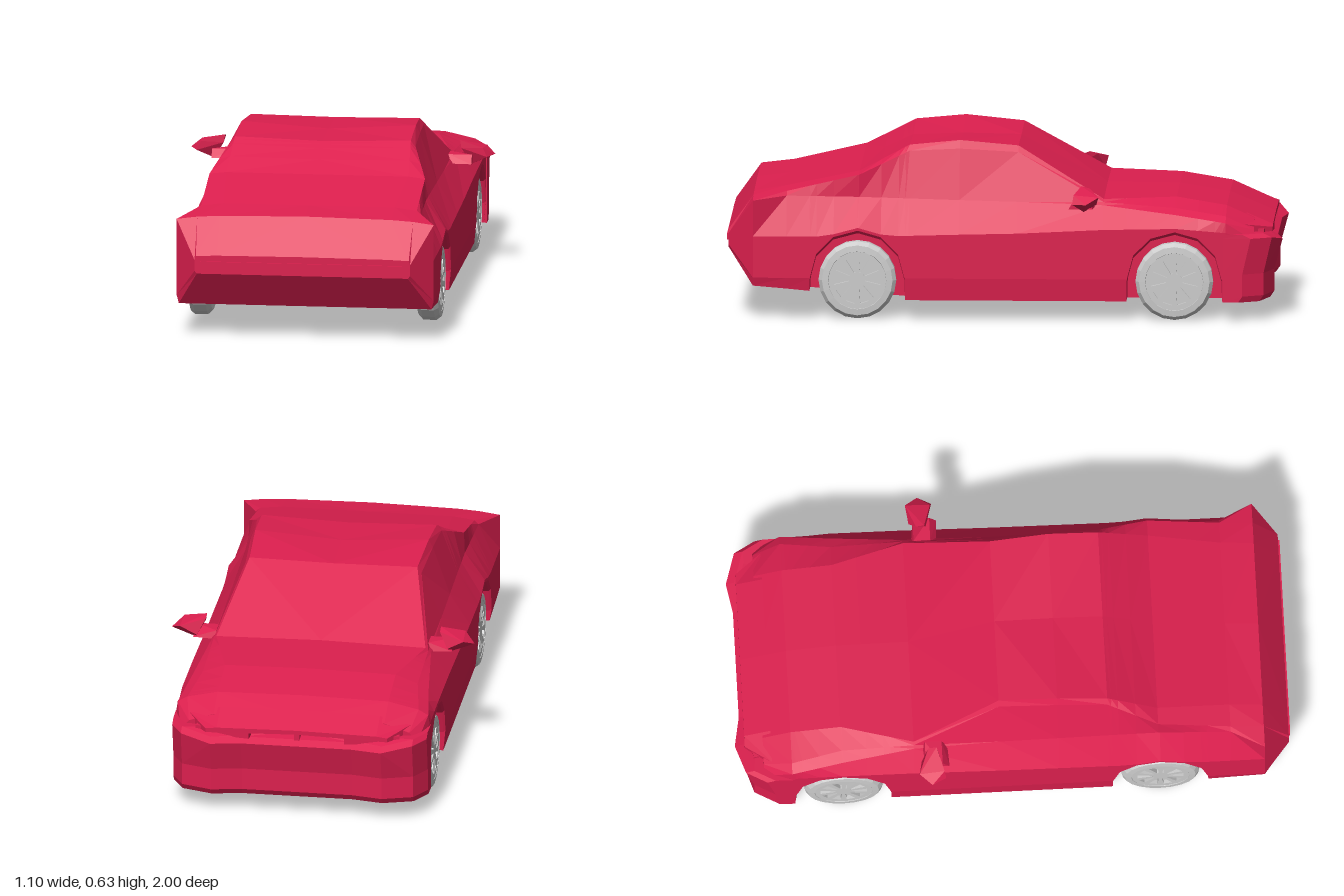
import * as THREE from 'three';
import { ConvexGeometry } from 'three/addons/geometries/ConvexGeometry.js';

const paint = new THREE.MeshStandardMaterial({ color: 0xdc1f4e, flatShading: true });
const grey = new THREE.MeshStandardMaterial({ color: 0xcccccc, flatShading: true });
const WHEEL_Z = [0.525, -0.615], WHEEL_Y = 0.142, ARCH_R = 0.17;

function addMesh(parent, name, geometry, material = paint) {
  const mesh = new THREE.Mesh(geometry, material);
  mesh.name = name;
  parent.add(mesh);
  return mesh;
}

// Skin closed rings of [x, y, z] points, cap both ends and turn the faces outwards
function loft(rings) {
  const n = rings[0].length, pts = rings.flat(), tris = [];
  for (let r = 0; r < rings.length - 1; r++) {
    for (let i = 0; i < n; i++) {
      const a = r * n + i, b = r * n + (i + 1) % n;
      // mirror the diagonal so that both halves match
      if (i < n / 2) tris.push([a, b, b + n], [a, b + n, a + n]);
      else tris.push([a, b, a + n], [b, b + n, a + n]);
    }
  }
  for (const [r, flip] of [[0, true], [rings.length - 1, false]]) {
    const c = pts.length;
    pts.push([0, 1, 2].map(k => rings[r].reduce((s, p) => s + p[k], 0) / n));
    for (let i = 0; i < n; i++) {
      const a = r * n + i, b = r * n + (i + 1) % n;
      tris.push(flip ? [b, a, c] : [a, b, c]);
    }
  }
  const v = pts.map(p => new THREE.Vector3(...p));
  const volume = tris.reduce((s, [a, b, c]) => s + v[a].dot(v[b].clone().cross(v[c])), 0);
  if (volume < 0) tris.forEach(t => t.reverse());
  const g = new THREE.BufferGeometry().setFromPoints(tris.flat().map(i => v[i]));
  g.computeVertexNormals();
  return g;
}

// Complete a half outline whose first and last points lie on the centre plane
const mirrored = half => [...half, ...half.slice(1, -1).reverse().map(([x, y, z]) => [-x, y, z])];

// Body keys: z, floor y, half width, crease y, belt x/y, window top x/y, roof edge x/y, centre y
const KEYS = [
  [0.99, 0.25, 0.39, 0.28, 0.39, 0.30, 0.385, 0.315, 0.31, 0.318, 0.32],
  [0.90, 0.12, 0.465, 0.30, 0.465, 0.43, 0.39, 0.44, 0.31, 0.445, 0.45],
  [0.78, 0.11, 0.465, 0.30, 0.405, 0.44, 0.39, 0.455, 0.31, 0.465, 0.465],
  [0.52, 0.085, 0.465, 0.30, 0.393, 0.435, 0.39, 0.515, 0.33, 0.522, 0.522],
  [0.34, 0.07, 0.465, 0.305, 0.392, 0.43, 0.335, 0.595, 0.318, 0.615, 0.605],
  [0.16, 0.07, 0.465, 0.31, 0.392, 0.425, 0.33, 0.603, 0.315, 0.632, 0.612],
  [-0.05, 0.07, 0.465, 0.315, 0.392, 0.42, 0.32, 0.59, 0.305, 0.612, 0.608],
  [-0.36, 0.07, 0.465, 0.33, 0.40, 0.41, 0.39, 0.42, 0.38, 0.43, 0.437],
  [-0.62, 0.07, 0.465, 0.335, 0.43, 0.38, 0.39, 0.40, 0.31, 0.43, 0.435],
  [-0.80, 0.07, 0.46, 0.32, 0.455, 0.355, 0.42, 0.375, 0.31, 0.40, 0.405],
  [-0.90, 0.08, 0.43, 0.25, 0.43, 0.29, 0.40, 0.325, 0.31, 0.355, 0.362],
];

function bodyRing(z) {
  const i = Math.max(1, KEYS.findIndex(k => k[0] <= z));
  const a = KEYS[i - 1], b = KEYS[i], t = (z - a[0]) / (b[0] - a[0]);
  const [, floor, w, crease, bx, by, ex, ey, rx, ry, cy] = a.map((q, k) => q + (b[k] - q) * t);
  let arch = floor;
  for (const wz of WHEEL_Z) {
    const d = Math.abs(z - wz);
    if (d < ARCH_R + 0.001) arch = WHEEL_Y + Math.sqrt(Math.max(0, ARCH_R ** 2 - d * d));
  }
  const lip = Math.max(Math.min(0.15, crease), arch + 0.01);
  const inner = Math.min(0.36, w - 0.02);
  return mirrored([
    [0, floor], [inner, floor], [inner, arch], [w - 0.008, arch], [w, lip],
    [w, Math.max(crease, lip + 0.01)], [bx, by], [ex, ey], [rx, ry], [0, cy],
  ].map(([x, y]) => [x, y, z]));
}

function createBody() {
  const stations = KEYS.map(k => k[0]);
  for (const wz of WHEEL_Z) {
    for (let i = 0; i <= 6; i++) stations.push(wz + ARCH_R * Math.cos(i * Math.PI / 6));
    stations.push(wz + ARCH_R + 0.002, wz - ARCH_R - 0.002);
  }
  return loft(stations.sort((a, b) => b - a).map(bodyRing));
}

// Nose: the same plan outline stacked at several heights, [y, setback]
function createNose() {
  const plan = [[0, -0.79], [0.463, -0.79], [0.462, -0.89], [0.42, -0.965], [0.31, -1.0], [0.2, -0.98], [0, -0.98]];
  const levels = [[0.068, 0.045], [0.09, 0.03], [0.17, 0.03], [0.28, 0], [0.295, 0.03]];
  return loft(levels.map(([y, back]) => mirrored(plan.map(([x, z]) => [
    x, y + (y > 0.25 && x > 0.4 ? 0.02 : 0), z < -0.8 ? z + back : z,
  ]))));
}

// Overhanging front edge of the bonnet
function createBonnetLip() {
  const ring = (z, w, edge, mid, thick) => mirrored([
    [0, mid - thick, z], [w, edge - thick, z], [w, edge, z], [0.29, mid - 0.005, z], [0, mid, z]]);
  return loft([ring(-0.87, 0.40, 0.343, 0.376, 0.035), ring(-0.965, 0.33, 0.325, 0.335, 0.015)]);
}

function createWheel() {
  const wheel = new THREE.Group();
  const profile = [[0, -0.04], [0.122, -0.04], [0.138, -0.024], [0.14, 0.022],
    [0.127, 0.038], [0.105, 0.04], [0.1, 0.022], [0, 0.022]];
  const tyre = new THREE.LatheGeometry(profile.map(p => new THREE.Vector2(...p)), 20);
  addMesh(wheel, 'tyre', tyre.rotateZ(-Math.PI / 2), grey);

  // rim disc with ten wedge openings
  const disc = new THREE.Shape().absarc(0, 0, 0.104, 0, Math.PI * 2);
  for (let i = 0; i < 10; i++) {
    const at = (r, da) => {
      const a = i * Math.PI / 5 + da;
      return new THREE.Vector2(r * Math.cos(a), r * Math.sin(a));
    };
    disc.holes.push(new THREE.Path([at(0.03, -0.1), at(0.085, -0.19), at(0.085, 0.19), at(0.03, 0.1)]));
  }
  const rim = new THREE.ExtrudeGeometry(disc, { depth: 0.014, bevelEnabled: false, curveSegments: 10 });
  addMesh(wheel, 'rim', rim.translate(0, 0, 0.024).rotateY(Math.PI / 2), grey);
  return wheel;
}

function createMirror(side) {
  const mirror = new THREE.Group();
  const hull = points => new ConvexGeometry(points.map(([x, y, z]) => new THREE.Vector3(side * x, y, z)));
  addMesh(mirror, 'mirrorHousing', hull([
    [0.425, 0.483, -0.28], [0.43, 0.455, -0.275], [0.51, 0.462, -0.255], [0.55, 0.432, -0.3], [0.465, 0.395, -0.29],
    [0.525, 0.43, -0.25], [0.425, 0.475, -0.31], [0.515, 0.455, -0.345], [0.455, 0.42, -0.335]]));
  addMesh(mirror, 'mirrorArm', hull([
    [0.385, 0.405, -0.24], [0.385, 0.405, -0.33], [0.385, 0.435, -0.26], [0.385, 0.435, -0.32],
    [0.47, 0.405, -0.235], [0.47, 0.405, -0.32], [0.47, 0.435, -0.26]]));
  return mirror;
}

export function createModel() {
  const car = new THREE.Group();
  car.name = 'car';
  addMesh(car, 'body', createBody());
  addMesh(car, 'nose', createNose());
  addMesh(car, 'bonnetLip', createBonnetLip());
  addMesh(car, 'grilleDivider', new THREE.BoxGeometry(0.02, 0.04, 0.05)).position.set(0, 0.31, -0.93);
  addMesh(car, 'tailLightStrip', new THREE.BoxGeometry(0.74, 0.022, 0.012)).position.set(0, 0.285, 0.99);

  for (const side of [1, -1]) {
    // headlamp under the bonnet edge, swept back at its outer end
    const lamp = addMesh(car, 'headlamp', new THREE.BoxGeometry(0.2, 0.03, 0.03));
    lamp.position.set(side * 0.27, 0.308, -0.935);
    lamp.rotation.y = -side * 0.15;
    const mirror = createMirror(side);
    mirror.name = side > 0 ? 'leftMirror' : 'rightMirror';
    car.add(mirror);
    WHEEL_Z.forEach((z, i) => {
      const wheel = createWheel();
      wheel.name = i ? 'steeredWheel' : 'drivenWheel';
      wheel.position.set(side * 0.413, 0.14, z);
      wheel.rotation.y = side > 0 ? 0 : Math.PI;
      car.add(wheel);
    });
  }
  return car;
}
